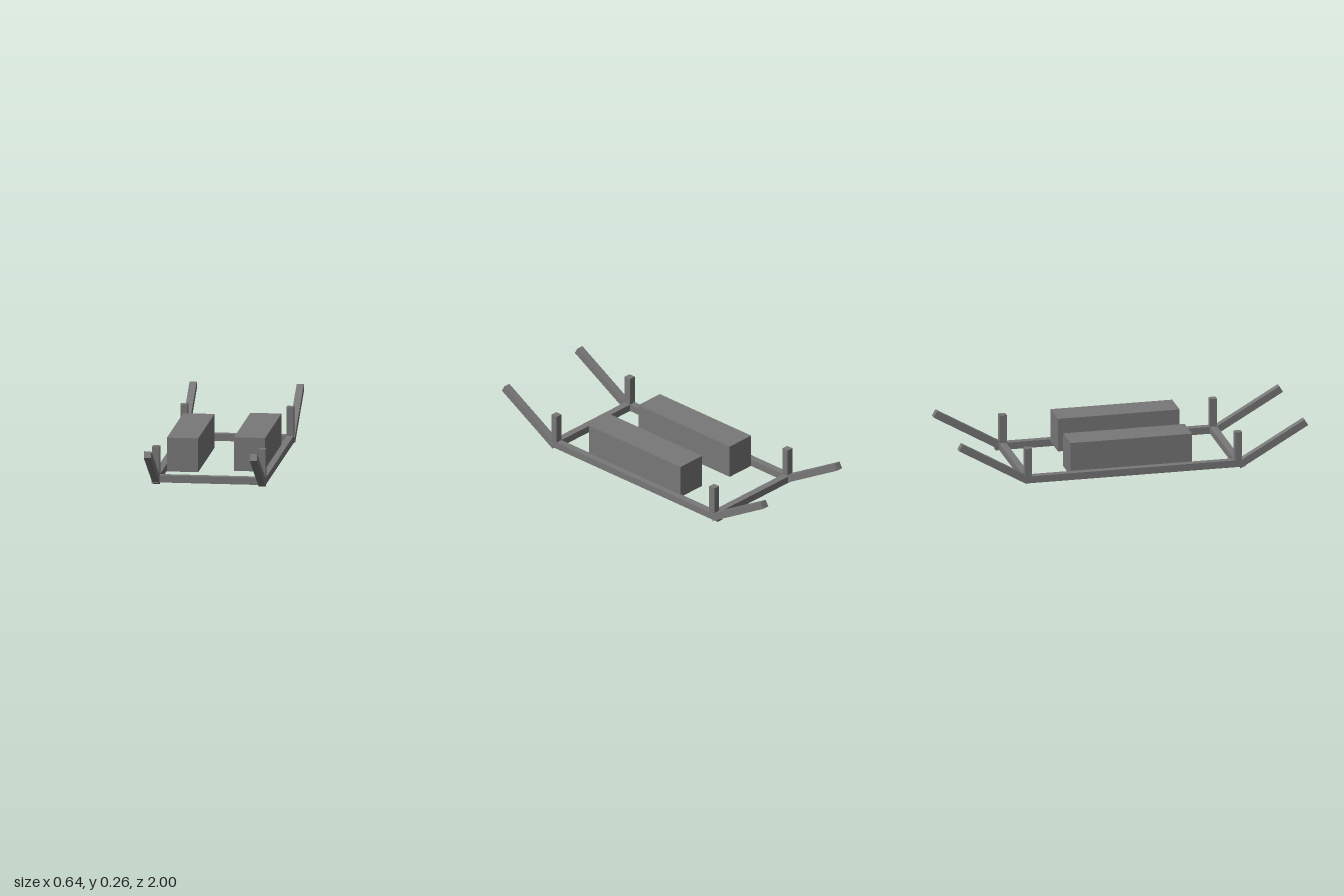
import * as THREE from 'three';

const material = new THREE.MeshStandardMaterial({ color: 0x787878, flatShading: true });
const T = 0.04; // thickness of every frame member

// Box given by its limits along each axis
function block(name, [x0, x1], [y0, y1], [z0, z1]) {
  const mesh = new THREE.Mesh(new THREE.BoxGeometry(x1 - x0, y1 - y0, z1 - z0), material);
  mesh.name = name;
  mesh.position.set((x0 + x1) / 2, (y0 + y1) / 2, (z0 + z1) / 2);
  return mesh;
}

// Handle rising outward at 30 degrees; dir is +1 for front, -1 for back
function handle(name, x, endY, length, dir) {
  const mesh = new THREE.Mesh(new THREE.BoxGeometry(T, T, length), material);
  const angle = Math.PI / 6;
  mesh.name = name;
  mesh.rotation.x = -dir * angle;
  mesh.position.set(
    x,
    endY - Math.sin(angle) * length / 2,
    dir * (0.99 - Math.cos(angle) * length / 2)
  );
  return mesh;
}

export function createModel() {
  const group = new THREE.Group();
  group.name = 'carryingFrame';

  // Long side rails
  group.add(block('leftRail', [0.275, 0.315], [0.01, 0.05], [-0.645, 0.62]));
  group.add(block('rightRail', [-0.322, -0.282], [0.01, 0.05], [-0.62, 0.64]));

  // Cross bars
  group.add(block('frontCrossbar', [-0.3, 0.3], [0.01, 0.05], [0.582, 0.622]));
  group.add(block('backCrossbar', [-0.3, 0.3], [0.01, 0.05], [-0.625, -0.585]));

  // Upright corner posts
  for (const [end, z] of [['front', 0.602], ['back', -0.601]]) {
    for (const [side, x] of [['Left', 0.295], ['Right', -0.301]]) {
      group.add(block(end + side + 'Post', [x - T / 2, x + T / 2], [0.012, 0.213], [z - T / 2, z + T / 2]));
    }
  }

  // Sloping handles
  group.add(handle('frontLeftHandle', 0.295, 0.24, 0.446, 1));
  group.add(handle('frontRightHandle', -0.299, 0.24, 0.446, 1));
  group.add(handle('backLeftHandle', 0.3, 0.247, 0.446, -1));
  group.add(handle('backRightHandle', -0.301, 0.247, 0.446, -1));

  // Pair of long boxes inside the frame
  group.add(block('leftBox', [0.105, 0.28], [0.035, 0.226], [-0.33, 0.367]));
  group.add(block('rightBox', [-0.274, -0.099], [0.018, 0.21], [-0.35, 0.347]));

  return group;
}
